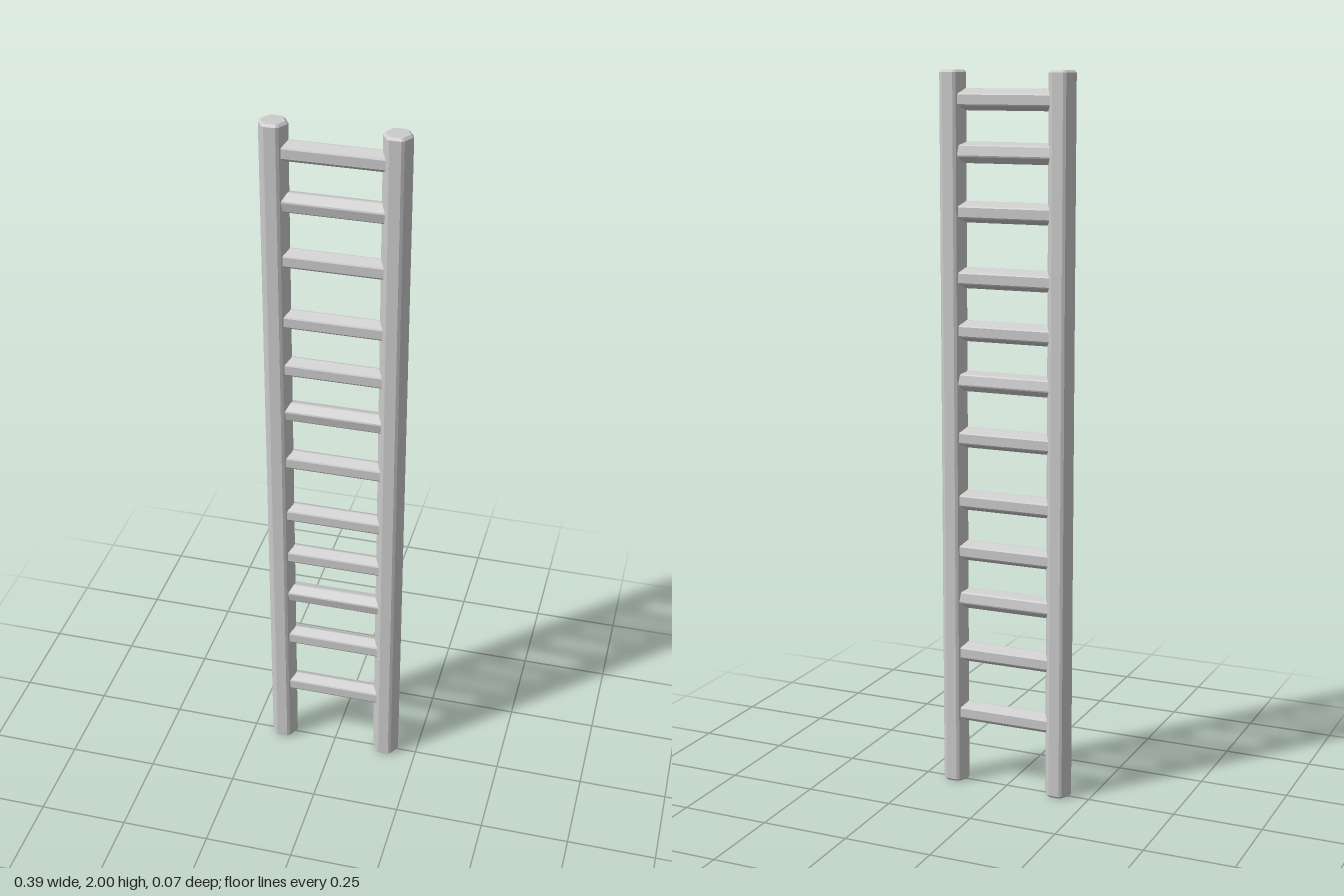
import * as THREE from 'three';

const material = new THREE.MeshStandardMaterial({ color: 0xcccccc, flatShading: true });

// Hexagon with clipped corners; corners point along +-x. Bevelled at both ends.
function hexBar(apothem, clip, length, bevel) {
  const half = apothem * Math.tan(Math.PI / 6) - clip;
  const points = [];
  for (let i = 0; i < 6; i++) {
    const a = Math.PI / 6 + (i * Math.PI) / 3;
    for (const s of [-half, half]) {
      points.push(new THREE.Vector2(
        apothem * Math.cos(a) - s * Math.sin(a),
        apothem * Math.sin(a) + s * Math.cos(a)));
    }
  }
  const geometry = new THREE.ExtrudeGeometry(new THREE.Shape(points), {
    depth: length - 2 * bevel,
    bevelEnabled: true,
    bevelSize: bevel,
    bevelThickness: bevel,
    bevelOffset: -bevel,
    bevelSegments: 1,
  });
  geometry.translate(0, 0, bevel - length / 2);
  return geometry;
}

export function createModel() {
  const ladder = new THREE.Group();
  ladder.name = 'ladder';
  const railX = 0.1575;

  // Upright rails
  const railGeometry = hexBar(0.0347, 0.005, 2, 0.0065).rotateX(-Math.PI / 2);
  for (const [name, side] of [['leftRail', 1], ['rightRail', -1]]) {
    const rail = new THREE.Mesh(railGeometry, material);
    rail.name = name;
    rail.position.set(side * railX, 1, 0);
    ladder.add(rail);
  }

  // Rungs: an uneven run of four, repeated three times, ends buried in the rails
  const rungGeometry = hexBar(0.026, 0.0025, 2 * railX, 0.004).rotateY(Math.PI / 2);
  rungGeometry.rotateX(Math.PI / 2);
  const heights = [0.208, 0.386, 0.544, 0.683];
  const rolls = [0, 0, 0.2, 0];
  for (let set = 0; set < 3; set++) {
    heights.forEach((y, i) => {
      const rung = new THREE.Mesh(rungGeometry, material);
      rung.name = `rung${set * 4 + i + 1}`;
      rung.position.y = y + set * 0.62;
      rung.rotation.x = rolls[i];
      ladder.add(rung);
    });
  }
  return ladder;
}
